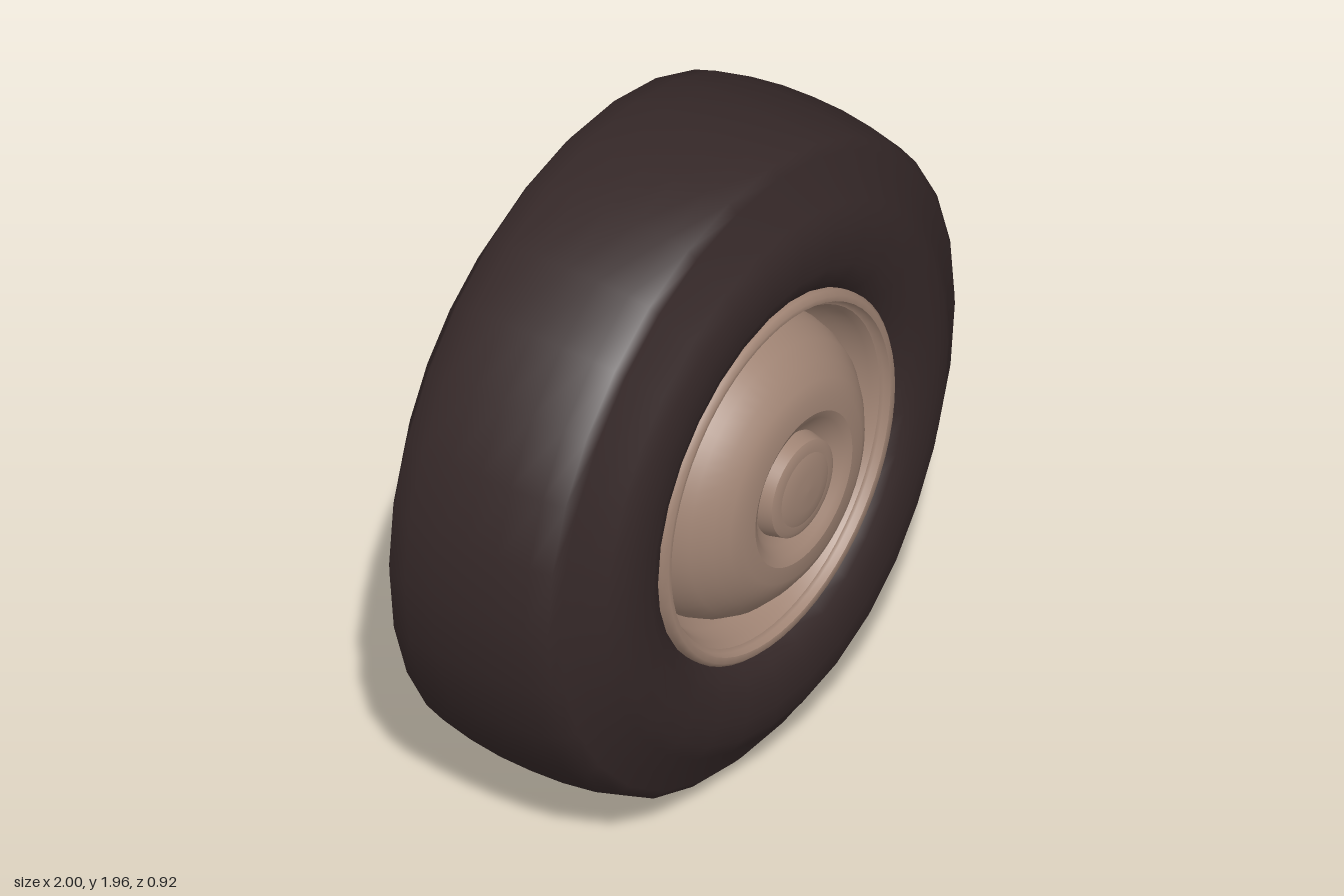
import * as THREE from 'three';

const rubber = new THREE.MeshStandardMaterial({ color: 0x352828 });
rubber.name = 'dark rubber';
const tan = new THREE.MeshStandardMaterial({ color: 0xa08474 });
tan.name = 'tan paint';

// Turns a profile of [radius, z] points about the z axis.
function turn(name, profile, material, sides) {
  const points = profile.map(([r, z]) => new THREE.Vector2(r, z));
  const geometry = new THREE.LatheGeometry(points, sides, Math.PI / 2);
  geometry.rotateX(Math.PI / 2);
  const mesh = new THREE.Mesh(geometry, material);
  mesh.name = name;
  return mesh;
}

// Tyre half profile, from the middle of the tread to the bead.
const tyreHalf = [
  [0.997, 0.1], [0.985, 0.2], [0.965, 0.265], [0.935, 0.287], [0.88, 0.31],
  [0.815, 0.355], [0.77, 0.38], [0.71, 0.39], [0.64, 0.388], [0.59, 0.37],
  [0.555, 0.34], [0.53, 0.30], [0.49, 0.22],
];

function createTyre() {
  const back = tyreHalf.map(([r, z]) => [r, -z]).reverse();
  const tyre = turn('tyre', [...back, [1, 0], ...tyreHalf], rubber, 30);
  // The load flattens the bottom and makes it bulge sideways.
  const p = tyre.geometry.attributes.position;
  for (let i = 0; i < p.count; i++) {
    const y = p.getY(i);
    const bulge = THREE.MathUtils.smoothstep(-y, 0.35, 0.85);
    p.setZ(i, p.getZ(i) * (1 + 0.055 * bulge));
    if (y < -0.8) p.setY(i, -0.8 + (y + 0.8) * 0.872);
  }
  return tyre;
}

// Each part is turned separately so its edges stay sharp.
const hubParts = {
  rimFlange: [[0.55, 0.31], [0.55, 0.355], [0.537, 0.368], [0.52, 0.365]],
  rimGroove: [[0.52, 0.365], [0.515, 0.345], [0.503, 0.34]],
  rimWell: [[0.503, 0.34], [0.49, 0.315], [0.475, 0.26], [0.45, 0.235]],
  wheelDisc: [
    [0.45, 0.235], [0.435, 0.29], [0.405, 0.345], [0.36, 0.39],
    [0.32, 0.42], [0.28, 0.438], [0.23, 0.442],
  ],
  hubRecess: [[0.23, 0.442], [0.205, 0.43], [0.18, 0.405], [0.155, 0.39]],
  capWall: [[0.155, 0.39], [0.145, 0.437]],
  capRing: [[0.145, 0.437], [0.13, 0.444], [0.11, 0.445]],
  capCentre: [[0.11, 0.445], [0.095, 0.45], [0.06, 0.457], [0, 0.459]],
};

function createHub(name, material) {
  const hub = new THREE.Group();
  hub.name = name;
  for (const [part, profile] of Object.entries(hubParts)) {
    hub.add(turn(part, profile, material, 60));
  }
  return hub;
}

export function createModel() {
  const wheel = new THREE.Group();
  wheel.name = 'wheel';
  const frontHub = createHub('frontHub', tan);
  const backHub = createHub('backHub', rubber);
  backHub.rotation.y = Math.PI;
  wheel.add(createTyre(), frontHub, backHub);
  wheel.position.y = 0.97;

  const model = new THREE.Group();
  model.add(wheel);
  return model;
}
